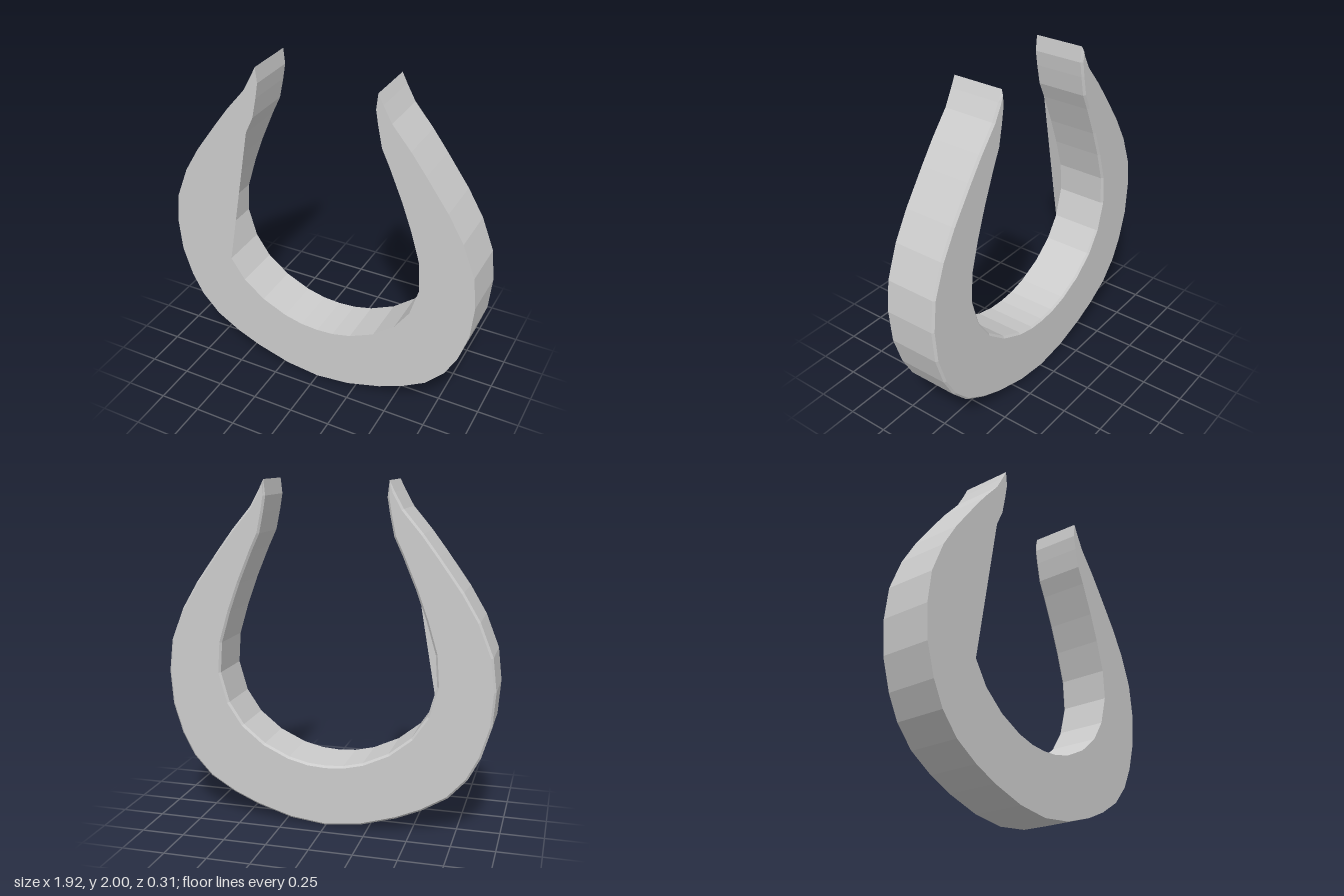
import * as THREE from 'three';

const FRONT = 0.157, EDGE = -0.143, BACK = -0.155, BEVEL = 0.012;

// Right half of the outline: outer edge upwards, then inner edge downwards
const outer = [[0.21, 0.027], [0.42, 0.09], [0.565, 0.153], [0.712, 0.242], [0.82, 0.36], [0.89, 0.495],
  [0.945, 0.675], [0.96, 0.875], [0.938, 1.065], [0.862, 1.257], [0.768, 1.415], [0.635, 1.6],
  [0.545, 1.72], [0.435, 1.85], [0.385, 1.94], [0.355, 2]];
const inner = [[0.345, 1.91], [0.36, 1.82], [0.385, 1.7], [0.432, 1.6], [0.51, 1.415], [0.57, 1.25],
  [0.625, 1.065], [0.637, 0.885], [0.587, 0.71], [0.5, 0.58], [0.37, 0.475], [0.22, 0.405], [0.105, 0.377]];

const toVec = ([x, y]) => new THREE.Vector2(x, y);
const mirror = (pts) => pts.map(([x, y]) => [-x, y]).reverse();

// Move each corner inwards along its mitre, limited at the sharp tips
function inset(pts, d) {
  const n = pts.length;
  return pts.map((p, i) => {
    const a = p.clone().sub(pts[(i + n - 1) % n]).normalize();
    const b = pts[(i + 1) % n].clone().sub(p).normalize();
    const m = new THREE.Vector2(-a.y - b.y, a.x + b.x).normalize();
    const cos = Math.max(m.dot(new THREE.Vector2(-a.y, a.x)), 0.4);
    return p.clone().addScaledVector(m, d / cos);
  });
}

// Strip of quads between two matching outlines
function band(front, zf, back, zb) {
  const pos = [];
  front.forEach((p, i) => {
    const j = (i + 1) % front.length;
    const a = [p.x, p.y, zf], b = [front[j].x, front[j].y, zf];
    const c = [back[j].x, back[j].y, zb], d = [back[i].x, back[i].y, zb];
    pos.push(...a, ...d, ...c, ...a, ...c, ...b);
  });
  const g = new THREE.BufferGeometry();
  g.setAttribute('position', new THREE.Float32BufferAttribute(pos, 3));
  g.computeVertexNormals();
  return g;
}

export function createModel() {
  const group = new THREE.Group();
  group.name = 'horseshoe';
  const material = new THREE.MeshStandardMaterial({ color: 0xcccccc, flatShading: true, side: THREE.DoubleSide });
  const add = (name, geometry) => {
    const mesh = new THREE.Mesh(geometry, material);
    mesh.name = name;
    group.add(mesh);
  };

  const innerLeft = mirror(inner);
  const outline = (left) =>
    [[0, 0.003], ...outer, ...inner, [0, 0.37], ...left, ...mirror(outer)].map(toVec);
  const full = outline(innerLeft);
  const small = inset(full, BEVEL);

  // Side walls and the bevel along the back rim
  add('sideWall', band(full, FRONT, full, EDGE));
  add('backBevel', band(full, EDGE, small, BACK));

  // Front face: its left inner edge runs straight across the hollow
  const straight = innerLeft.filter(([, y]) => y < 0.72 || y > 1.55);
  add('frontFace', new THREE.ShapeGeometry(new THREE.Shape(outline(straight))).translate(0, 0, FRONT));

  // Back face: the outline is symmetric, so a half turn fits it
  add('backFace', new THREE.ShapeGeometry(new THREE.Shape(small)).rotateY(Math.PI).translate(0, 0, BACK));
  return group;
}
